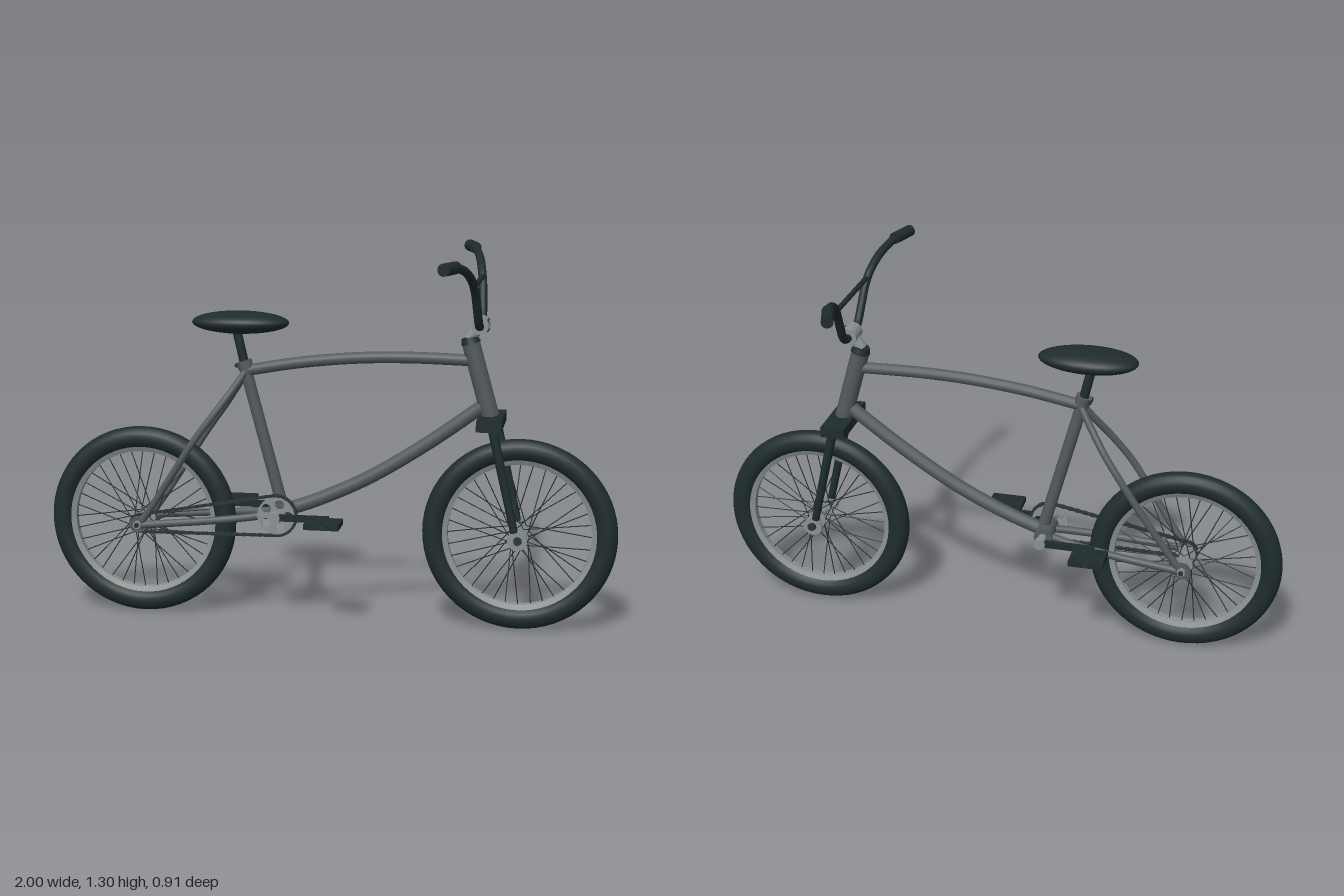
import * as THREE from 'three';
import { mergeGeometries, toCreasedNormals } from 'three/addons/utils/BufferGeometryUtils.js';

const material = (name, color) => new THREE.MeshStandardMaterial({ name, color });
const V = (x, y, z = 0) => new THREE.Vector3(x, y, z);

// Capped cylinder between two points
function rod(a, b, r, r2 = r, sides = 16) {
  const d = b.clone().sub(a);
  const g = new THREE.CylinderGeometry(r2, r, d.length(), sides);
  g.applyQuaternion(new THREE.Quaternion().setFromUnitVectors(V(0, 1, 0), d.normalize()));
  const m = a.clone().add(b).multiplyScalar(0.5);
  return g.translate(m.x, m.y, m.z);
}
const box = (w, h, d, x, y, z) => new THREE.BoxGeometry(w, h, d).translate(x, y, z);
const tube = (pts, r, n = 40) => new THREE.TubeGeometry(new THREE.CatmullRomCurve3(pts), n, r, 14);

// Flat plate of a given thickness, centred on z
function plate(shape, depth, z) {
  const g = new THREE.ExtrudeGeometry(shape, { depth, bevelEnabled: false, curveSegments: 20 });
  return g.translate(0, 0, z - depth / 2);
}
function disc(r, holes) {
  const s = new THREE.Shape().absarc(0, 0, r, 0, Math.PI * 2);
  for (const [x, y, hr] of holes) s.holes.push(new THREE.Path().absarc(x, y, hr, 0, Math.PI * 2, true));
  return s;
}

export function createModel() {
  const rubber = material('black rubber and paint', 0x1f2c2c);
  const steel = material('grey frame paint', 0x535a5d);
  const alloy = material('light alloy', 0x8a9191);
  const wire = material('dark wire', 0x2b3436);
  const model = new THREE.Group();
  model.name = 'bicycle';
  const add = (name, geo, mat, parent = model) => {
    const m = new THREE.Mesh(geo, mat);
    m.name = name;
    parent.add(m);
    return m;
  };

  // Wheels: tyre, rim, hub and crossed spokes
  function wheel(name, x) {
    const g = new THREE.Group();
    g.name = name;
    g.position.set(x, 0.34, 0);
    add('tyre', new THREE.TorusGeometry(0.296, 0.039, 18, 64).scale(1, 1, 0.92), rubber, g);
    const profile = [[0.247, -0.013], [0.266, -0.021], [0.266, 0.021], [0.247, 0.013], [0.247, -0.013]];
    const rim = new THREE.LatheGeometry(profile.map(p => new THREE.Vector2(...p)), 64).rotateX(Math.PI / 2);
    add('rim', toCreasedNormals(rim, 0.6), alloy, g);
    const hub = [rod(V(0, 0, -0.07), V(0, 0, 0.07), 0.015)];
    for (const z of [-0.036, 0.036]) hub.push(rod(V(0, 0, z - 0.003), V(0, 0, z + 0.003), 0.032));
    add('hub', mergeGeometries(hub), alloy, g);
    add('axle', rod(V(0, 0, -0.105), V(0, 0, 0.105), 0.009, 0.009, 10), wire, g);
    const spokes = [];
    for (let i = 0; i < 36; i++) {
      const a = i * Math.PI / 18;
      const b = a + (i % 4 < 2 ? 1 : -1) * 1.1;
      spokes.push(rod(V(0.028 * Math.cos(b), 0.028 * Math.sin(b), i % 2 ? 0.036 : -0.036),
        V(0.25 * Math.cos(a), 0.25 * Math.sin(a), 0), 0.0019, 0.0019, 5));
    }
    add('spokes', mergeGeometries(spokes), wire, g);
    model.add(g);
  }
  wheel('frontWheel', 0.665);
  wheel('rearWheel', -0.665);

  // Main frame tubes
  const crank = V(-0.172, 0.388);
  add('headTube', rod(V(0.558, 0.75), V(0.488, 1.0), 0.031, 0.031, 24), steel);
  add('topTube', tube([V(-0.285, 0.885), V(-0.1, 0.917), V(0.1, 0.938), V(0.28, 0.944), V(0.495, 0.94)], 0.02), steel);
  add('downTube', tube([V(0.54, 0.79), V(0.34, 0.645), V(0.14, 0.52), V(-0.04, 0.435), V(-0.165, 0.39)], 0.024), steel);
  add('seatTube', rod(V(-0.16, 0.395), V(-0.295, 0.905), 0.021), steel);
  add('bottomBracket', rod(V(crank.x, crank.y, -0.055), V(crank.x, crank.y, 0.055), 0.032, 0.032, 24), steel);
  for (const s of [1, -1]) {
    add('seatStay', tube([V(-0.29, 0.88, s * 0.012), V(-0.33, 0.82, s * 0.038), V(-0.38, 0.75, s * 0.072),
      V(-0.45, 0.655, s * 0.095), V(-0.535, 0.525, s * 0.094), V(-0.6, 0.425, s * 0.085), V(-0.655, 0.345, s * 0.08)], 0.0125), steel);
    add('chainStay', tube([V(-0.175, 0.385, s * 0.025), V(-0.28, 0.372, s * 0.048), V(-0.4, 0.36, s * 0.066),
      V(-0.655, 0.337, s * 0.08)], 0.0135), steel);
    add('rearDropout', rod(V(-0.665, 0.338, s * 0.074), V(-0.665, 0.338, s * 0.086), 0.03), steel);
    add('rearNut', rod(V(-0.665, 0.34, s * 0.086), V(-0.665, 0.34, s * 0.1), 0.015, 0.015, 6), alloy);
  }

  // Fork
  add('forkCrown', box(0.085, 0.037, 0.24, 0.562, 0.734, 0), rubber);
  for (const s of [1, -1]) {
    add('forkLeg', rod(V(0.572, 0.725, s * 0.087), V(0.652, 0.368, s * 0.087), 0.0165, 0.0135), rubber);
    add('frontDropout', plate(disc(0.034, [[0, 0, 0.015]]), 0.012, s * 0.087).translate(0.663, 0.34, 0), alloy);
    add('frontNut', rod(V(0.665, 0.34, s * 0.086), V(0.665, 0.34, s * 0.102), 0.015, 0.015, 6), wire);
  }

  // Headset and stem
  add('headset', rod(V(0.489, 0.998), V(0.483, 1.019), 0.034, 0.028), rubber);
  add('stemNeck', rod(V(0.484, 1.012), V(0.515, 1.058), 0.021), alloy);
  add('stemClamp', rod(V(0.52, 1.062, -0.034), V(0.52, 1.062, 0.034), 0.03, 0.03, 24), alloy);
  const bolts = [];
  for (const z of [-0.023, 0.023]) for (const y of [1.045, 1.079])
    bolts.push(rod(V(0.535, y, z), V(0.549, y, z), 0.004, 0.004, 8));
  add('stemBolts', mergeGeometries(bolts), wire);

  // Handlebar, brace and grips
  const half = [V(0.466, 1.288, 0.37), V(0.474, 1.284, 0.335), V(0.493, 1.262, 0.255), V(0.506, 1.225, 0.185),
    V(0.513, 1.185, 0.148), V(0.517, 1.13, 0.115), V(0.52, 1.08, 0.082), V(0.52, 1.063, 0.055)];
  const mirrored = half.map(p => V(p.x, p.y, -p.z)).reverse();
  add('handlebar', tube([...half, ...mirrored], 0.0145, 110), rubber);
  add('barBrace', rod(V(0.511, 1.208, -0.165), V(0.511, 1.208, 0.165), 0.009), rubber);
  for (const s of [1, -1])
    add('grip', rod(V(0.469, 1.288, s * 0.355), V(0.439, 1.289, s * 0.45), 0.0205), rubber);

  // Saddle and post
  add('seatPost', rod(V(-0.288, 0.88), V(-0.322, 1.03), 0.016), rubber);
  add('seatClamp', rod(V(-0.288, 0.89), V(-0.297, 0.918), 0.027), steel);
  add('clampBolt', rod(V(-0.318, 0.903, -0.018), V(-0.318, 0.903, 0.018), 0.008, 0.008, 10), wire);
  const saddle = new THREE.SphereGeometry(1, 40, 24);
  const p = saddle.attributes.position;
  for (let i = 0; i < p.count; i++) p.setZ(i, p.getZ(i) * (1 - 0.08 * p.getX(i)));
  saddle.scale(0.17, 0.039, 0.086).translate(-0.307, 1.052, 0);
  add('saddle', saddle, rubber);

  // Chainring, rear cog and chain
  const holes = [0, 1, 2, 3, 4].map(i => [0.042 * Math.cos(i * 1.2566), 0.042 * Math.sin(i * 1.2566), 0.0165]);
  add('chainring', plate(disc(0.066, holes), 0.008, 0.07).translate(crank.x, crank.y, 0), alloy);
  add('rearCog', rod(V(-0.665, 0.34, 0.06), V(-0.665, 0.34, 0.069), 0.026), alloy);
  const dx = -0.665 - crank.x, dy = 0.34 - crank.y;
  const u = Math.atan2(dy, dx), b = Math.acos(0.041 / Math.hypot(dx, dy));
  const loop = new THREE.Shape().absarc(crank.x, crank.y, 0.071, u + b, u - b + 2 * Math.PI, false);
  loop.absarc(-0.665, 0.34, 0.03, u - b, u + b, false).closePath();
  const path = loop.getSpacedPoints(96);
  const links = [];
  for (let i = 0; i < 96; i++) {
    const a = path[i], c = path[i + 1];
    const g = new THREE.BoxGeometry(a.distanceTo(c), 0.009, i % 2 ? 0.015 : 0.009);
    g.rotateZ(Math.atan2(c.y - a.y, c.x - a.x));
    links.push(g.translate((a.x + c.x) / 2, (a.y + c.y) / 2, 0.068));
  }
  add('chain', mergeGeometries(links), wire);

  // Cranks and pedals, pointing opposite ways
  add('crankAxle', rod(V(crank.x, crank.y, -0.108), V(crank.x, crank.y, 0.108), 0.015), alloy);
  const deck = new THREE.Shape([[-0.06, -0.05], [0.06, -0.05], [0.06, 0.05], [-0.06, 0.05]].map(q => new THREE.Vector2(...q)));
  for (const x of [-0.04, 0, 0.04]) for (const y of [-0.03, 0.03])
    deck.holes.push(new THREE.Path().absarc(x, y, 0.007, 0, Math.PI * 2, true));
  for (const s of [1, -1]) {
    add('crankArm', box(0.2, 0.022, 0.017, crank.x + s * 0.09, crank.y, s * 0.097), rubber);
    add('crankBoss', rod(V(crank.x, crank.y, s * 0.086), V(crank.x, crank.y, s * 0.11), 0.02), alloy);
    const px = crank.x + s * 0.182;
    add('pedalSpindle', rod(V(px, crank.y, s * 0.095), V(px, crank.y, s * 0.21), 0.008), wire);
    const pedal = plate(deck, 0.02, 0).rotateX(-Math.PI / 2).translate(px, crank.y, s * 0.16);
    add('pedal', pedal, rubber);
  }
  return model;
}
